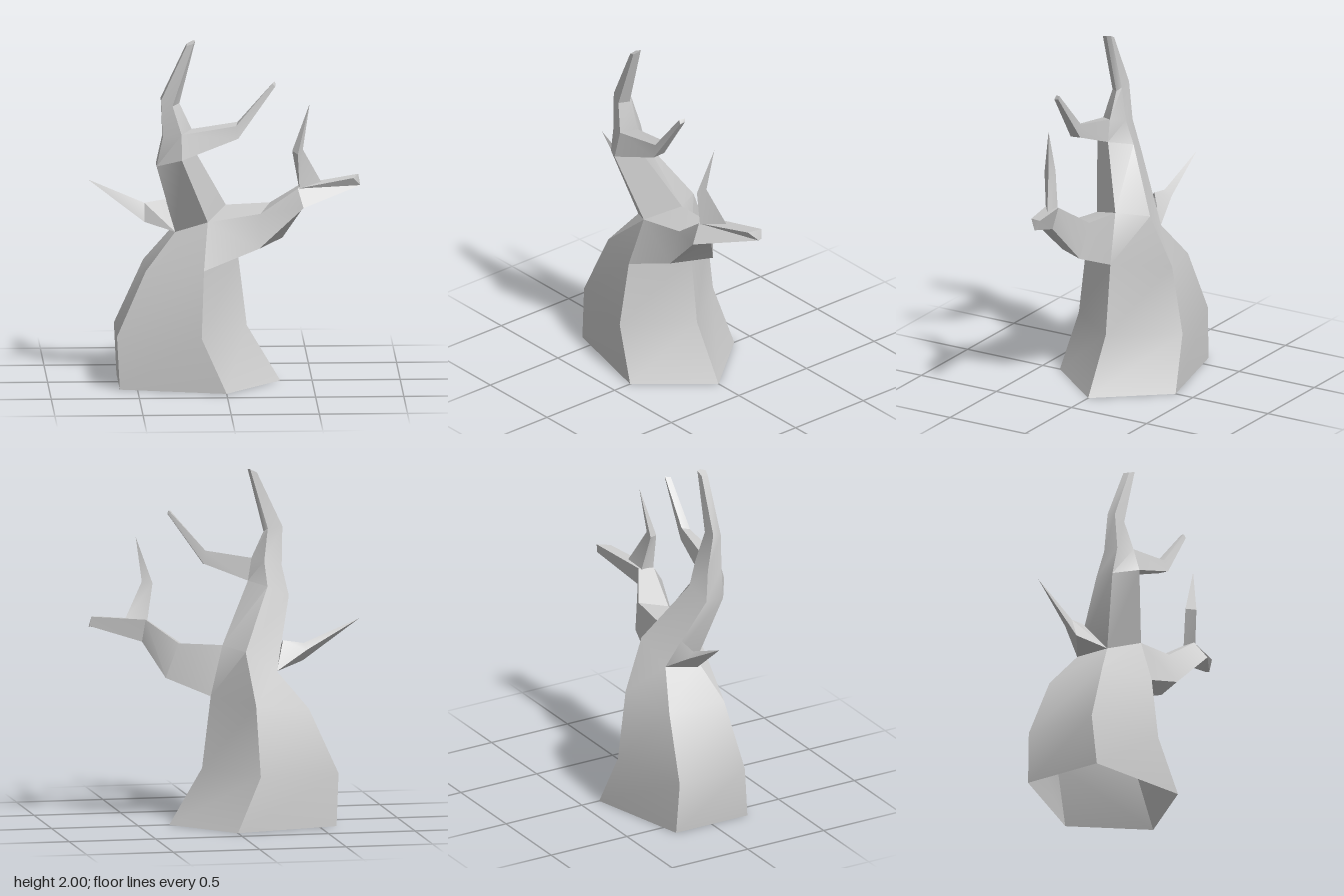
import * as THREE from 'three';
import { toCreasedNormals } from 'three/addons/utils/BufferGeometryUtils.js';

const material = new THREE.MeshStandardMaterial({ color: 0xcccccc, side: THREE.DoubleSide });

// Skins a list of cross-sections, each clockwise seen from the tip.
// A last section of one point makes a spike; otherwise the end is capped.
function limb(name, rings) {
  const pos = [];
  const tri = (a, b, c) => pos.push(...a, ...b, ...c);
  for (let i = 0; i < rings.length - 1; i++) {
    const low = rings[i], high = rings[i + 1], n = low.length;
    for (let j = 0; j < n; j++) {
      const k = (j + 1) % n;
      if (high.length === 1) {
        tri(low[j], high[0], low[k]);
      } else {
        tri(low[j], high[j], low[k]);
        tri(low[k], high[j], high[k]);
      }
    }
  }
  const end = rings[rings.length - 1];
  for (let j = 1; j < end.length - 1; j++) tri(end[0], end[j + 1], end[j]);

  const geometry = new THREE.BufferGeometry();
  geometry.setAttribute('position', new THREE.Float32BufferAttribute(pos, 3));
  const mesh = new THREE.Mesh(toCreasedNormals(geometry, 0.5), material);
  mesh.name = name;
  return mesh;
}

export function createModel() {
  const tree = new THREE.Group();
  tree.name = 'deadTree';

  // Five-sided hollow trunk, corners: right, front, left front, left back, back
  const trunk = [
    [[0.32, 0, 0], [0, 0, 0.385], [-0.6, 0, 0.235], [-0.6, 0, -0.235], [0, 0, -0.385]],
    [[0.13, 0.32, 0], [-0.14, 0.31, 0.345], [-0.615, 0.3, 0.21], [-0.615, 0.3, -0.22], [-0.14, 0.31, -0.345]],
    [[0.08, 0.73, 0], [-0.125, 0.69, 0.29], [-0.45, 0.67, 0.17], [-0.45, 0.67, -0.19], [-0.125, 0.71, -0.285]],
    [[0.01, 1.02, 0.01], [-0.1, 0.955, 0.2], [-0.28, 0.88, 0.09], [-0.28, 0.88, -0.115], [-0.09, 1.0, -0.16]],
    [[-0.17, 1.36, 0.17], [-0.25, 1.33, 0.29], [-0.39, 1.28, 0.2], [-0.39, 1.28, 0.09], [-0.26, 1.34, 0.055]],
    [[-0.19, 1.49, 0.17], [-0.25, 1.47, 0.25], [-0.355, 1.45, 0.21], [-0.355, 1.45, 0.12], [-0.25, 1.48, 0.1]],
    [[-0.26, 1.64, 0.17], [-0.3, 1.63, 0.22], [-0.365, 1.66, 0.2], [-0.365, 1.67, 0.15], [-0.28, 1.66, 0.145]],
    [[-0.17, 2.0, 0.18], [-0.18, 1.99, 0.21], [-0.22, 1.975, 0.2], [-0.22, 1.98, 0.16], [-0.18, 2.0, 0.155]],
  ];
  tree.add(limb('trunk', trunk));

  // Four-sided branches grow out of the trunk wall between two sections
  const socket = (i) => [trunk[i][1], trunk[i + 1][1], trunk[i + 1][0], trunk[i][0]];

  tree.add(limb('largeBranch', [
    socket(2),
    [[0.19, 0.81, 0.25], [0.2, 1.0, 0.19], [0.26, 1.035, 0.03], [0.33, 0.835, 0.05]],
    [[0.44, 1.05, 0.29], [0.41, 1.15, 0.22], [0.43, 1.16, 0.13], [0.445, 1.03, 0.16]],
    [[0.77, 1.14, 0.08], [0.73, 1.19, 0.125], [0.76, 1.2, 0.05], [0.77, 1.145, 0.06]],
  ]));

  tree.add(limb('upperBranch', [
    socket(4),
    [[0.07, 1.45, 0.27], [0.06, 1.52, 0.25], [0.07, 1.535, 0.2], [0.08, 1.46, 0.2]],
    [[0.28, 1.745, 0.25], [0.265, 1.765, 0.245], [0.28, 1.77, 0.215], [0.285, 1.75, 0.22]],
  ]));

  // Three-sided spikes
  tree.add(limb('sideBranch', [
    [trunk[3][2], trunk[3][3], [-0.33, 1.045, -0.04]],
    [[-0.45, 0.92, -0.005], [-0.46, 0.99, -0.075], [-0.45, 1.025, -0.035]],
    [[-0.77, 1.16, -0.05]],
  ]));

  tree.add(limb('twig', [
    [[0.55, 1.165, 0.13], [0.42, 1.14, 0.22], [0.42, 1.14, 0.14]],
    [[0.44, 1.37, 0.19], [0.41, 1.35, 0.235], [0.38, 1.36, 0.18]],
    [[0.48, 1.63, 0.165]],
  ]));

  return tree;
}
